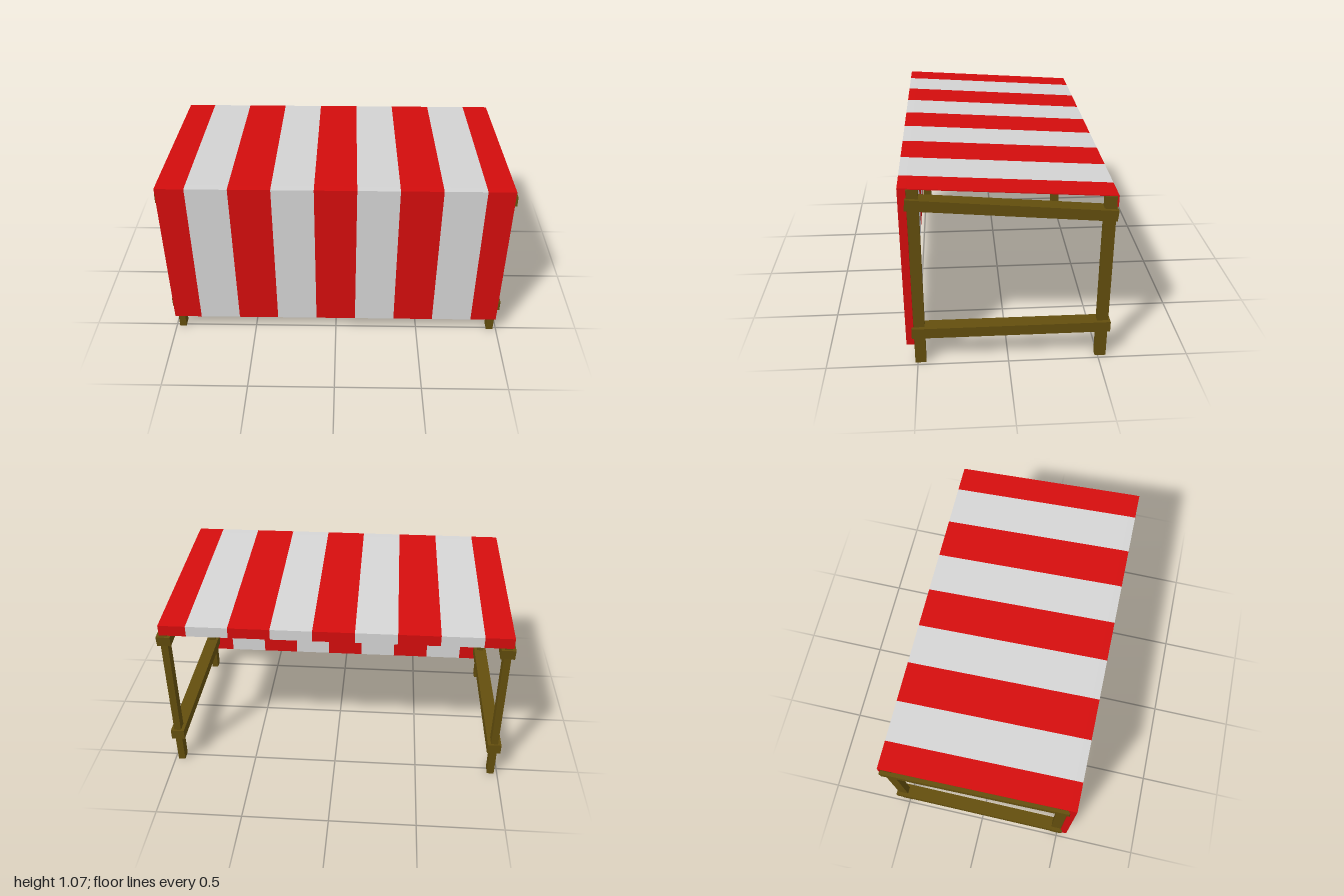
import * as THREE from 'three';

const wood = new THREE.MeshStandardMaterial({ color: 0x634e0d });
wood.name = 'brown wood';
const red = new THREE.MeshStandardMaterial({ color: 0xd40d0d });
red.name = 'red cloth';
const white = new THREE.MeshStandardMaterial({ color: 0xd4d4d4 });
white.name = 'pale cloth';

// Box spanning the given y and z ranges, centred on x
function beam(name, x, width, y0, y1, z0, z1) {
  const mesh = new THREE.Mesh(new THREE.BoxGeometry(width, y1 - y0, z1 - z0), wood);
  mesh.name = name;
  mesh.position.set(x, (y0 + y1) / 2, (z0 + z1) / 2);
  return mesh;
}

export function createModel() {
  const stall = new THREE.Group();
  stall.name = 'marketStall';

  // Side frames: two posts joined by a level rail and a sloping rail
  for (const [side, s] of [['left', 1], ['right', -1]]) {
    const frame = new THREE.Group();
    frame.name = side + 'Frame';
    const x = s * 0.96;
    frame.add(beam('frontPost', x, 0.041, 0, 1.056, 0.454, 0.514));
    frame.add(beam('backPost', x, 0.041, 0, 0.99, -0.545, -0.484));
    frame.add(beam('lowerRail', x, 0.08, 0.175, 0.236, -0.556, 0.525));
    const upper = beam('upperRail', x, 0.08, 0.903, 0.963, -0.554, 0.526);
    upper.rotation.x = -0.0875;
    frame.add(upper);
    stall.add(frame);
  }

  // Cloth cross-section (-z, y): thick front panel, thin roof, short back valance
  const profile = new THREE.Shape([
    [-0.557, 0.122], [-0.515, 0.122], [-0.515, 1.059], [0.546, 0.989],
    [0.546, 0.93], [0.554, 0.93], [0.554, 0.993], [-0.515, 1.064], [-0.557, 1.065],
  ].map(([u, y]) => new THREE.Vector2(u, y)));

  // Alternating stripes, with narrower ones at both ends
  const cloth = new THREE.Group();
  cloth.name = 'stripedCloth';
  const pitch = 0.2356;
  const edges = [-0.987];
  for (let i = 0; i < 8; i++) edges.push((i - 3.5) * pitch);
  edges.push(0.979);
  for (let i = 0; i < edges.length - 1; i++) {
    const geometry = new THREE.ExtrudeGeometry(profile, {
      depth: edges[i + 1] - edges[i], bevelEnabled: false,
    });
    geometry.rotateY(Math.PI / 2);
    const stripe = new THREE.Mesh(geometry, i % 2 ? white : red);
    stripe.name = 'stripe' + (i + 1);
    stripe.position.x = edges[i];
    cloth.add(stripe);
  }
  stall.add(cloth);
  return stall;
}
